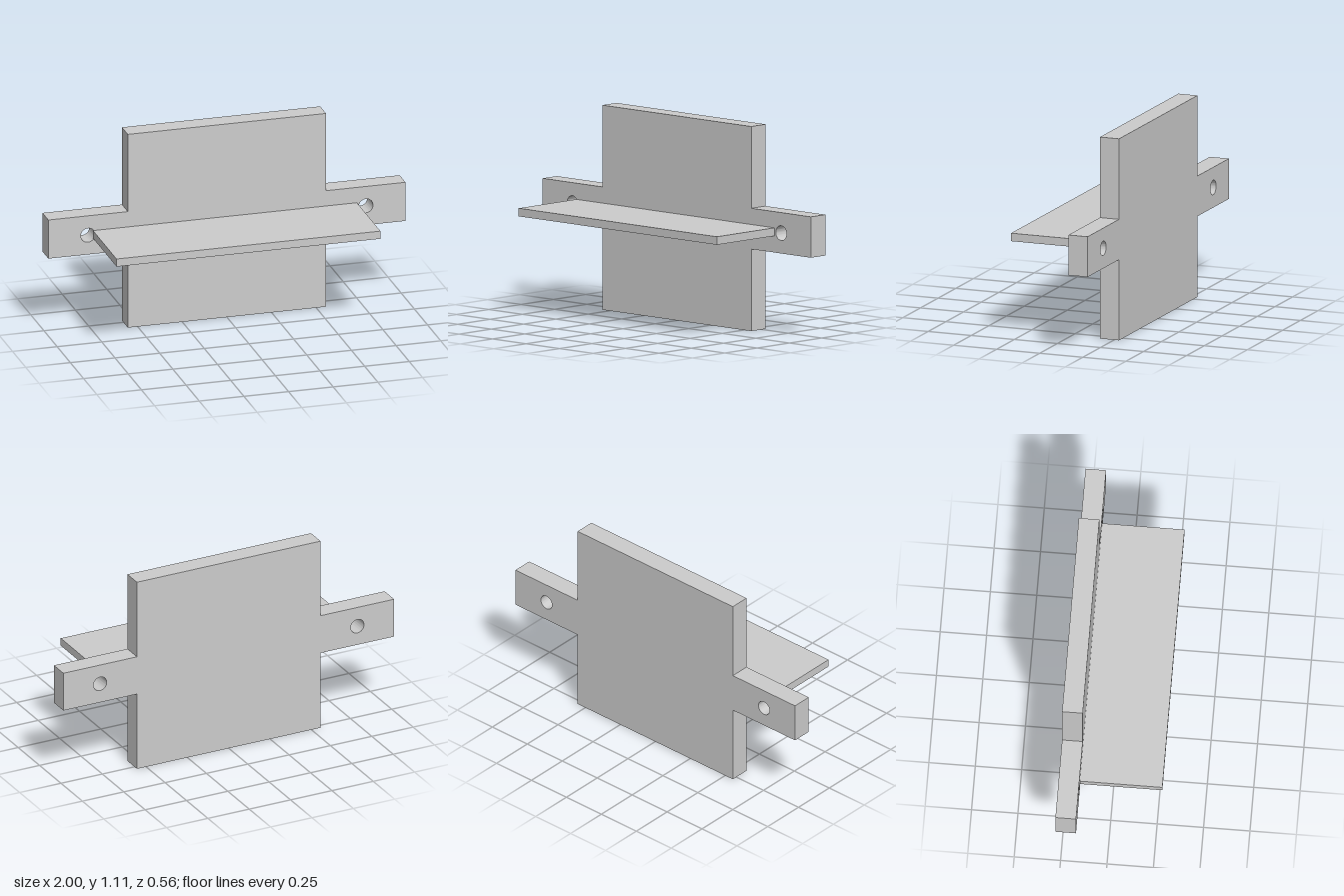
import * as THREE from 'three';
import { toCreasedNormals } from 'three/addons/utils/BufferGeometryUtils.js';

export function createModel() {
  const group = new THREE.Group();
  const material = new THREE.MeshStandardMaterial({ color: 0xcccccc });

  // Cross-shaped plate: tall panel with a drilled arm on each side
  const panelX = 0.555, height = 1.111, armBottom = 0.445, armTop = 0.667;
  const backZ = -0.278, plateFrontZ = -0.167, frontZ = 0.278;
  const outline = new THREE.Shape([
    [-panelX, 0], [panelX, 0], [panelX, armBottom], [1, armBottom],
    [1, armTop], [panelX, armTop], [panelX, height], [-panelX, height],
    [-panelX, armTop], [-1, armTop], [-1, armBottom], [-panelX, armBottom],
  ].map(([x, y]) => new THREE.Vector2(x, y)));

  // Round through-hole in each arm
  for (const side of [-1, 1]) {
    const hole = new THREE.Path();
    hole.absarc(side * 0.778, height / 2, 0.04, 0, Math.PI * 2, true);
    outline.holes.push(hole);
  }
  const plateGeometry = new THREE.ExtrudeGeometry(outline, {
    depth: plateFrontZ - backZ, bevelEnabled: false, curveSegments: 20,
  });
  const plate = new THREE.Mesh(toCreasedNormals(plateGeometry, 0.6), material);
  plate.name = 'backPlate';
  plate.position.z = backZ;
  group.add(plate);

  // Thin shelf projecting forward, set slightly off centre
  const shelfLeft = 0.728, shelfRight = -0.75;
  const shelf = new THREE.Mesh(
    new THREE.BoxGeometry(shelfLeft - shelfRight, 0.044, frontZ - plateFrontZ), material);
  shelf.name = 'shelf';
  shelf.position.set((shelfLeft + shelfRight) / 2, 0.557, (frontZ + plateFrontZ) / 2);
  group.add(shelf);

  return group;
}
